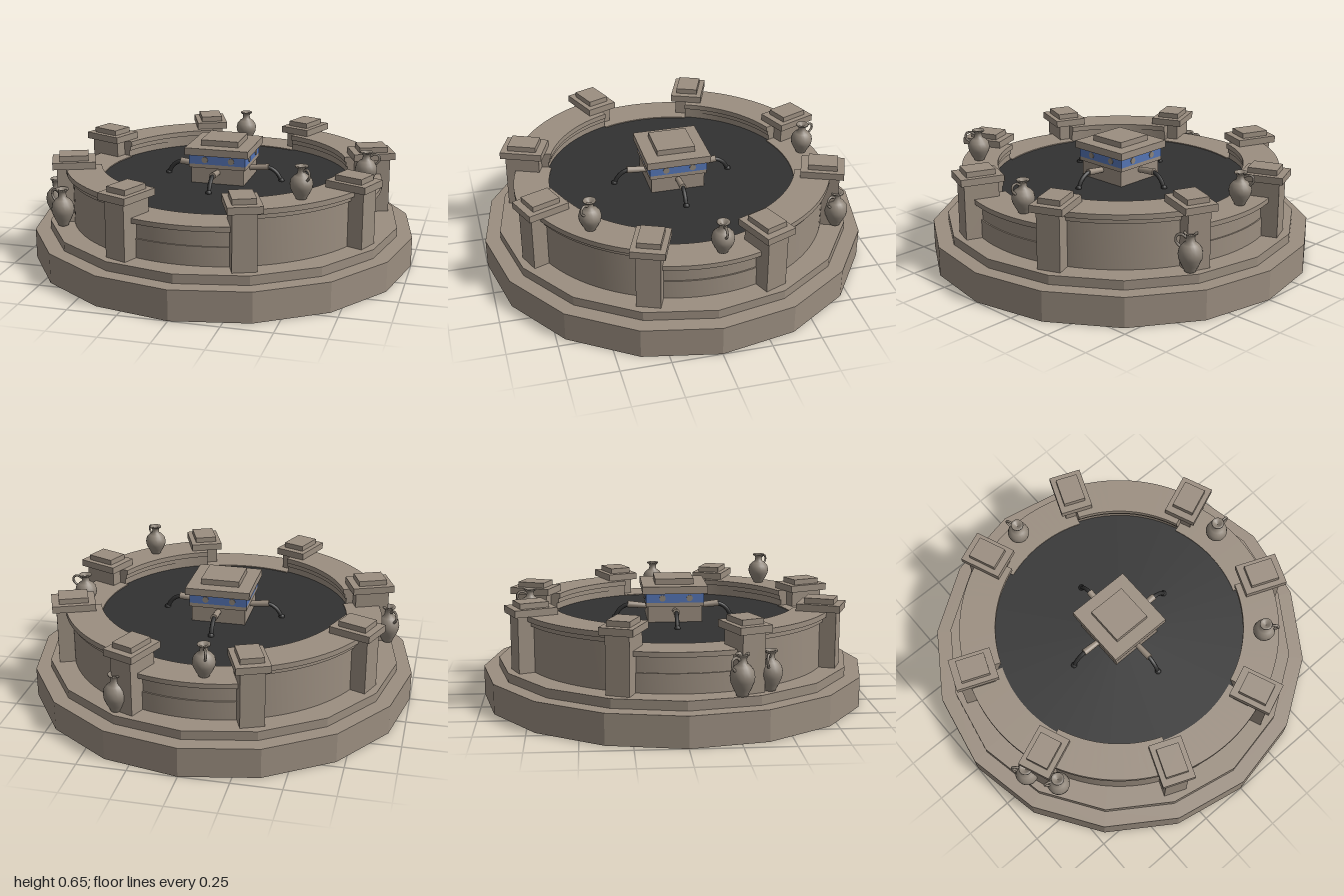
import * as THREE from 'three';
import { toCreasedNormals } from 'three/addons/utils/BufferGeometryUtils.js';

const mat = (name, color, opts = {}) => new THREE.MeshStandardMaterial({ name, color, ...opts });
const rad = THREE.MathUtils.degToRad;
const v2 = (pts) => pts.map(([x, y]) => new THREE.Vector2(x, y));

export function createModel() {
  const stone = mat('stone', 0x9b8e80, { side: THREE.DoubleSide });
  const clay = mat('clay', 0x8f8579);
  const water = mat('dark water', 0x313131, { side: THREE.DoubleSide });
  const blue = mat('blue tile', 0x5474b4);

  const model = new THREE.Group();
  model.name = 'fountain';

  const add = (parent, name, geometry, material, x = 0, y = 0, z = 0) => {
    const m = new THREE.Mesh(geometry, material);
    m.name = name;
    m.position.set(x, y, z);
    parent.add(m);
    return m;
  };
  // box given by its width, depth, bottom and top
  const block = (parent, name, w, d, y0, y1, material = stone) =>
    add(parent, name, new THREE.BoxGeometry(w, y1 - y0, d), material, 0, (y0 + y1) / 2, 0);

  // sixteen-sided stepped base, hollow underneath
  const baseProfile = v2([[0, 0.1], [0.6, 0.1], [0.6, 0], [1, 0], [1, 0.155], [0.92, 0.155], [0.92, 0.202], [0, 0.202]]);
  add(model, 'steppedBase', toCreasedNormals(new THREE.LatheGeometry(baseProfile, 16), 0.1), stone);

  // basin walls: low on the four axes, high on the diagonals
  const wall = (name, centre, half, outline) => {
    const group = new THREE.Group();
    group.name = name;
    model.add(group);
    const profile = v2(outline);
    const start = rad(centre - half);
    const geo = new THREE.LatheGeometry(profile, 16, start, rad(half * 2));
    add(group, 'curvedWall', toCreasedNormals(geo, 0.4), stone);
    const end = new THREE.ShapeGeometry(new THREE.Shape(profile));
    for (const phi of [start, start + rad(half * 2)]) {
      add(group, 'wallEnd', end, stone).rotation.y = phi - Math.PI / 2;
    }
  };
  const lowOutline = [
    [0.66, 0.2], [0.797, 0.2], [0.797, 0.3], [0.79, 0.3], [0.79, 0.385], [0.828, 0.385],
    [0.828, 0.41], [0.643, 0.41], [0.643, 0.385], [0.66, 0.385], [0.66, 0.2],
  ];
  const highOutline = [
    [0.66, 0.2], [0.795, 0.2], [0.795, 0.44], [0.81, 0.44], [0.81, 0.465], [0.828, 0.465],
    [0.828, 0.492], [0.643, 0.492], [0.643, 0.465], [0.652, 0.465], [0.652, 0.44], [0.66, 0.44], [0.66, 0.2],
  ];
  for (let i = 0; i < 4; i++) {
    wall('lowWall', i * 90, 21, lowOutline);
    wall('highWall', i * 90 + 45, 24, highOutline);
  }

  // pillars with caps between the wall sections
  for (let i = 0; i < 4; i++) {
    for (const side of [-1, 1]) {
      const a = rad(i * 90 + side * 21.2);
      const pillar = new THREE.Group();
      pillar.name = 'pillar';
      pillar.position.set(Math.sin(a) * 0.786, 0, Math.cos(a) * 0.786);
      pillar.rotation.y = rad(i * 90 + side * 22);
      block(pillar, 'pillarBody', 0.12, 0.18, 0.2, 0.495);
      block(pillar, 'pillarCap', 0.17, 0.222, 0.492, 0.528);
      block(pillar, 'pillarTop', 0.116, 0.15, 0.528, 0.556);
      model.add(pillar);
    }
  }

  // water surface, just below the top of the low walls
  add(model, 'waterSurface', new THREE.CircleGeometry(0.66, 64), water, 0, 0.405, 0).rotation.x = -Math.PI / 2;

  // central block
  const centre = new THREE.Group();
  centre.name = 'centrePiece';
  model.add(centre);
  block(centre, 'centreBody', 0.28, 0.28, 0.2, 0.49);
  block(centre, 'centreLedge', 0.3, 0.3, 0.488, 0.508);
  block(centre, 'tileBand', 0.3, 0.3, 0.508, 0.557, blue);
  block(centre, 'centreCap', 0.335, 0.335, 0.557, 0.595);
  block(centre, 'centreTop', 0.2, 0.2, 0.595, 0.625);

  // spouts, falling streams and tile ornaments on each side of the block
  const spoutGeo = new THREE.CylinderGeometry(0.018, 0.014, 0.12, 12);
  const fall = new THREE.CatmullRomCurve3([
    new THREE.Vector3(0, 0.476, 0.225), new THREE.Vector3(0, 0.468, 0.255),
    new THREE.Vector3(0, 0.445, 0.285), new THREE.Vector3(0, 0.4, 0.312),
  ]);
  const fallGeo = new THREE.TubeGeometry(fall, 10, 0.011, 8);
  const splashGeo = new THREE.SphereGeometry(0.016, 12, 8);
  const ornamentGeo = new THREE.CylinderGeometry(0.017, 0.017, 0.004, 8);
  for (let i = 0; i < 4; i++) {
    const face = new THREE.Group();
    face.name = 'spoutSide';
    face.rotation.y = i * Math.PI / 2;
    centre.add(face);
    add(face, 'spout', spoutGeo, stone, 0, 0.47, 0.18).rotation.x = Math.PI / 2 - 0.1;
    add(face, 'waterStream', fallGeo, water);
    add(face, 'splash', splashGeo, water, 0, 0.407, 0.308);
    for (const x of [-0.065, 0.075]) {
      add(face, 'tileOrnament', ornamentGeo, clay, x, 0.532, 0.151).rotation.x = Math.PI / 2;
    }
  }

  // jugs with one handle
  const jugGeo = new THREE.LatheGeometry(v2([
    [0, 0], [0.026, 0], [0.028, 0.008], [0.04, 0.028], [0.053, 0.055], [0.056, 0.075], [0.051, 0.098],
    [0.036, 0.115], [0.021, 0.125], [0.018, 0.143], [0.022, 0.152], [0.032, 0.158], [0.031, 0.164],
    [0.02, 0.162], [0, 0.145],
  ]), 20);
  const handleGeo = new THREE.TubeGeometry(new THREE.CatmullRomCurve3([
    new THREE.Vector3(0.018, 0.14, 0), new THREE.Vector3(0.042, 0.152, 0), new THREE.Vector3(0.062, 0.145, 0),
    new THREE.Vector3(0.066, 0.122, 0), new THREE.Vector3(0.046, 0.1, 0),
  ]), 14, 0.006, 6);
  // x, y, z, handle turn in degrees, width scale, height scale
  const jugs = [
    [0.52, 0.49, 0.53, -45, 1, 1], [0.74, 0.41, -0.065, 0, 1.02, 1.03], [-0.07, 0.41, -0.745, 110, 1.02, 1.03],
    [-0.845, 0.202, 0.26, 130, 1.07, 1.24], [-0.755, 0.202, 0.405, 160, 1.05, 1.2], [0.355, 0.202, -0.795, -60, 1.07, 1.2],
  ];
  for (const [x, y, z, turn, wide, tall] of jugs) {
    const jug = new THREE.Group();
    jug.name = 'jug';
    jug.position.set(x, y, z);
    jug.rotation.y = rad(turn);
    jug.scale.set(wide, tall, wide);
    add(jug, 'jugBody', jugGeo, clay);
    add(jug, 'jugHandle', handleGeo, clay);
    model.add(jug);
  }
  return model;
}
